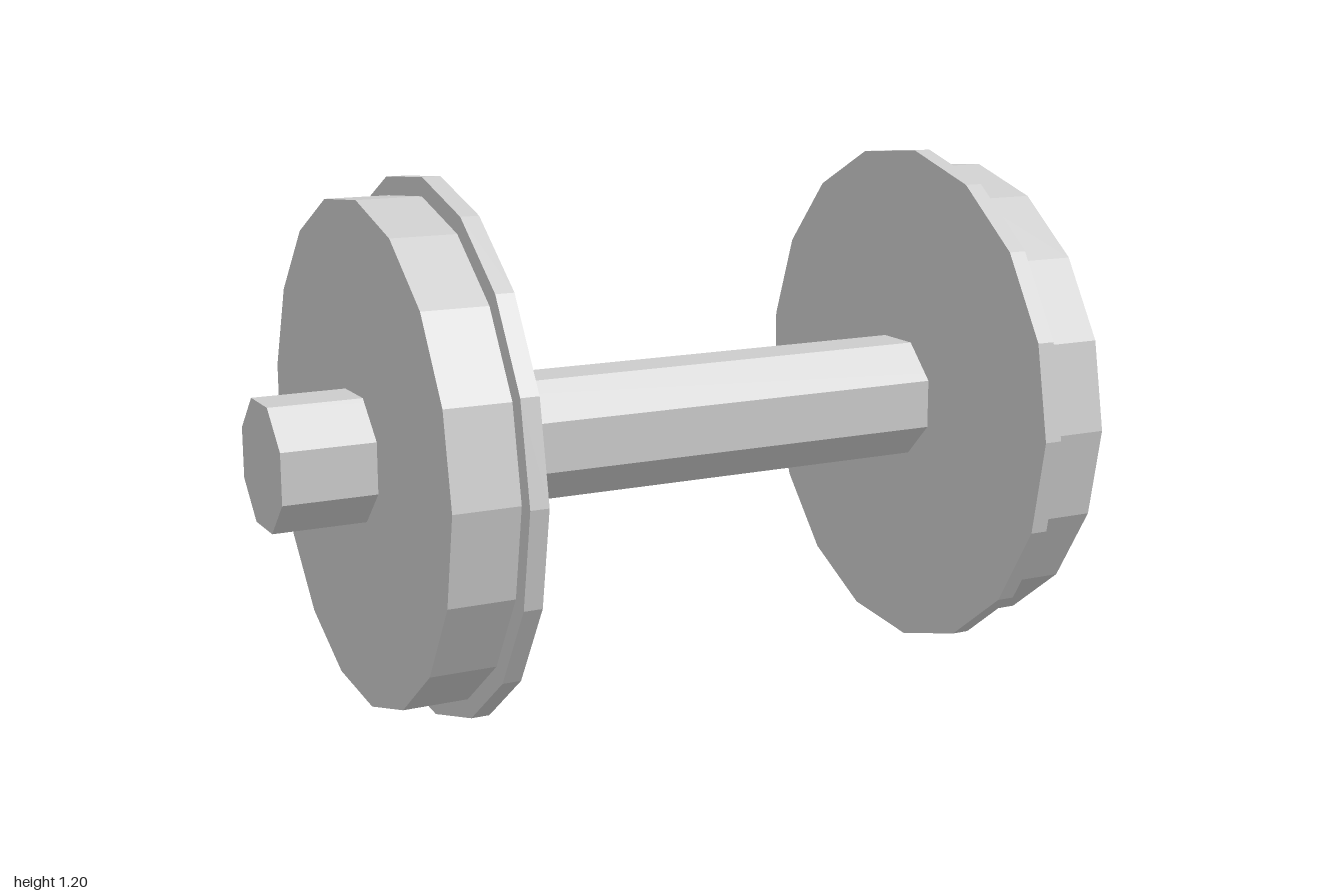
import * as THREE from 'three';

export function createModel() {
  const group = new THREE.Group();
  const steel = new THREE.MeshStandardMaterial({ color: 0xcccccc, flatShading: true });
  steel.name = 'steel grey';

  const AXIS_Y = 0.6, AXIS_Z = -0.005;

  // Faceted disc or bar lying along x, from x0 to x1
  function bar(name, radius, sides, x0, x1, turn = 0) {
    const geometry = new THREE.CylinderGeometry(radius, radius, x1 - x0, sides, 1, false, turn);
    geometry.rotateZ(Math.PI / 2);
    const mesh = new THREE.Mesh(geometry, steel);
    mesh.name = name;
    mesh.position.set((x0 + x1) / 2, AXIS_Y, AXIS_Z);
    return mesh;
  }

  // Octagonal axle running through both wheels
  group.add(bar('axle', 0.148, 8, -1, 1, Math.PI / 8));

  // Wheels: outer tread with a wider, thin flange on the inner side
  for (const side of [1, -1]) {
    const wheel = new THREE.Group();
    wheel.name = side > 0 ? 'leftWheel' : 'rightWheel';
    const span = (a, b) => (side > 0 ? [a, b] : [-b, -a]);
    wheel.add(bar('flange', 0.6026, 17, ...span(0.6015, 0.643)));
    wheel.add(bar('tread', 0.561, 17, ...span(0.643, 0.79)));
    group.add(wheel);
  }

  return group;
}
